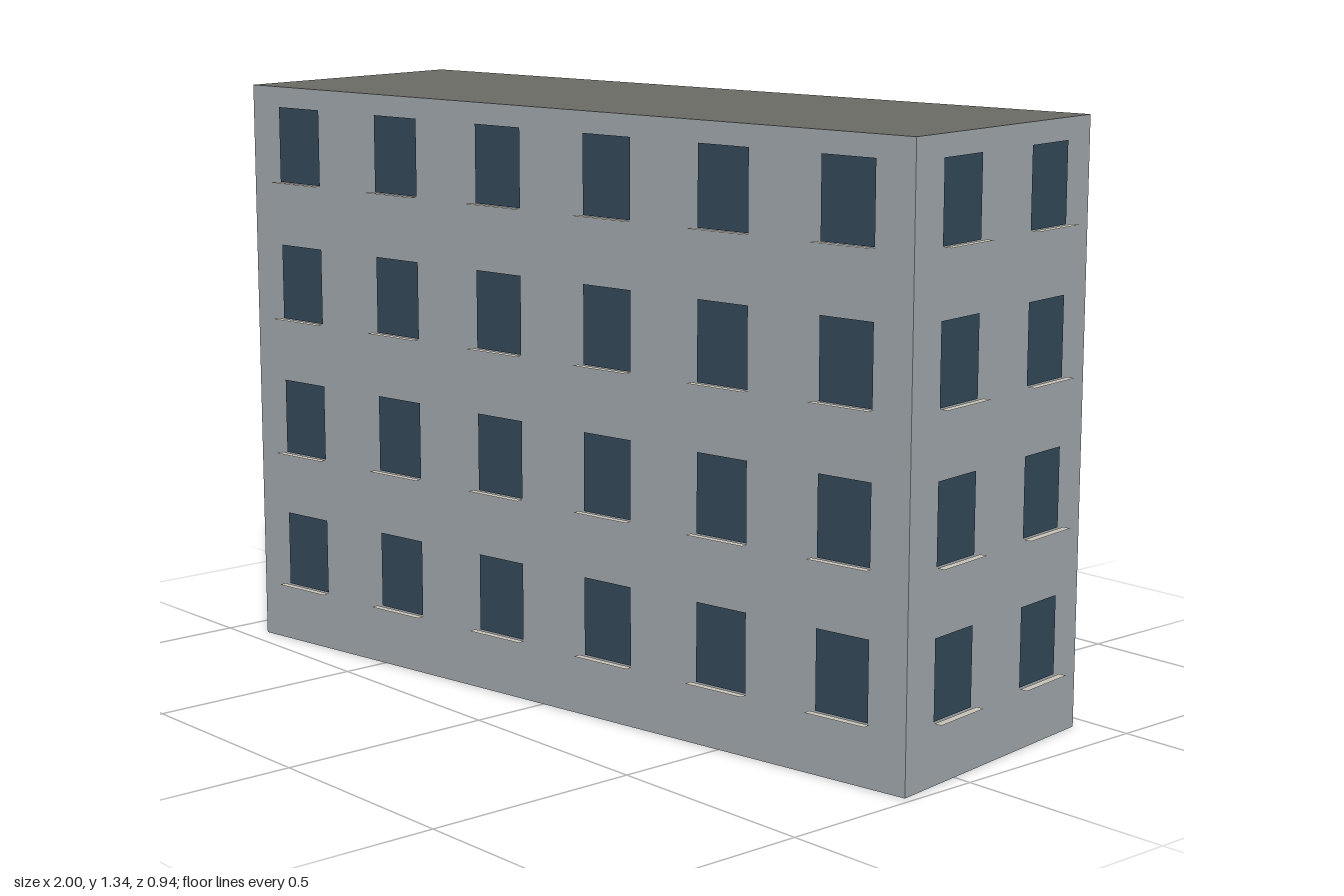
import * as THREE from 'three';

const LENGTH = 1.91, WIDTH = 0.63, HEIGHT = 1.338, TURN = THREE.MathUtils.degToRad(8.35);
const FLOORS = 4, FLOOR_STEP = 0.325, FIRST_SILL = 0.14;
const WIN_W = 0.134, WIN_H = 0.176, SILL_W = 0.153, SILL_D = 0.018;

const paint = (color) => new THREE.MeshStandardMaterial({ color, side: THREE.DoubleSide });

export function createModel() {
  const wallMat = paint(0xa0a8ad), roofMat = paint(0x6a6b65);
  const glassMat = paint(0x344959), sillMat = paint(0xc8c2b6);
  const windowGeo = new THREE.PlaneGeometry(WIN_W, WIN_H);
  const sillGeo = new THREE.PlaneGeometry(SILL_W, SILL_D).rotateX(-Math.PI / 2);

  const building = new THREE.Group();
  building.name = 'building';

  const add = (parent, name, geo, mat, x, y, z) => {
    const mesh = new THREE.Mesh(geo, mat);
    mesh.name = name;
    mesh.position.set(x, y, z);
    parent.add(mesh);
    return mesh;
  };

  // One wall with its grid of windows, each over a thin ledge
  const addFacade = (name, width, distance, angle, columns) => {
    const facade = new THREE.Group();
    facade.name = name;
    facade.rotation.y = angle;
    add(facade, 'wall', new THREE.PlaneGeometry(width, HEIGHT), wallMat, 0, HEIGHT / 2, distance);
    for (let floor = 0; floor < FLOORS; floor++) {
      const y = FIRST_SILL + floor * FLOOR_STEP;
      for (const x of columns) {
        add(facade, 'window', windowGeo, glassMat, x, y + WIN_H / 2, distance + 0.004);
        add(facade, 'windowSill', sillGeo, sillMat, x, y, distance + 0.021);
      }
    }
    building.add(facade);
  };

  const spread = (count, width) =>
    Array.from({ length: count }, (_, i) => ((i + 0.5) / count - 0.5) * width);

  addFacade('frontFacade', LENGTH, WIDTH / 2, 0, spread(6, LENGTH));
  addFacade('backFacade', LENGTH, WIDTH / 2, Math.PI, spread(6, LENGTH));
  addFacade('leftFacade', WIDTH, LENGTH / 2, Math.PI / 2, spread(2, WIDTH));
  addFacade('rightFacade', WIDTH, LENGTH / 2, -Math.PI / 2, [0.045]); // single column

  // Flat roof and underside
  const slab = new THREE.PlaneGeometry(LENGTH, WIDTH);
  add(building, 'roof', slab, roofMat, 0, HEIGHT, 0).rotation.x = -Math.PI / 2;
  add(building, 'underside', slab, roofMat, 0, 0, 0).rotation.x = Math.PI / 2;

  building.rotation.y = TURN;
  building.position.x = -0.009;
  const model = new THREE.Group();
  model.add(building);
  return model;
}
